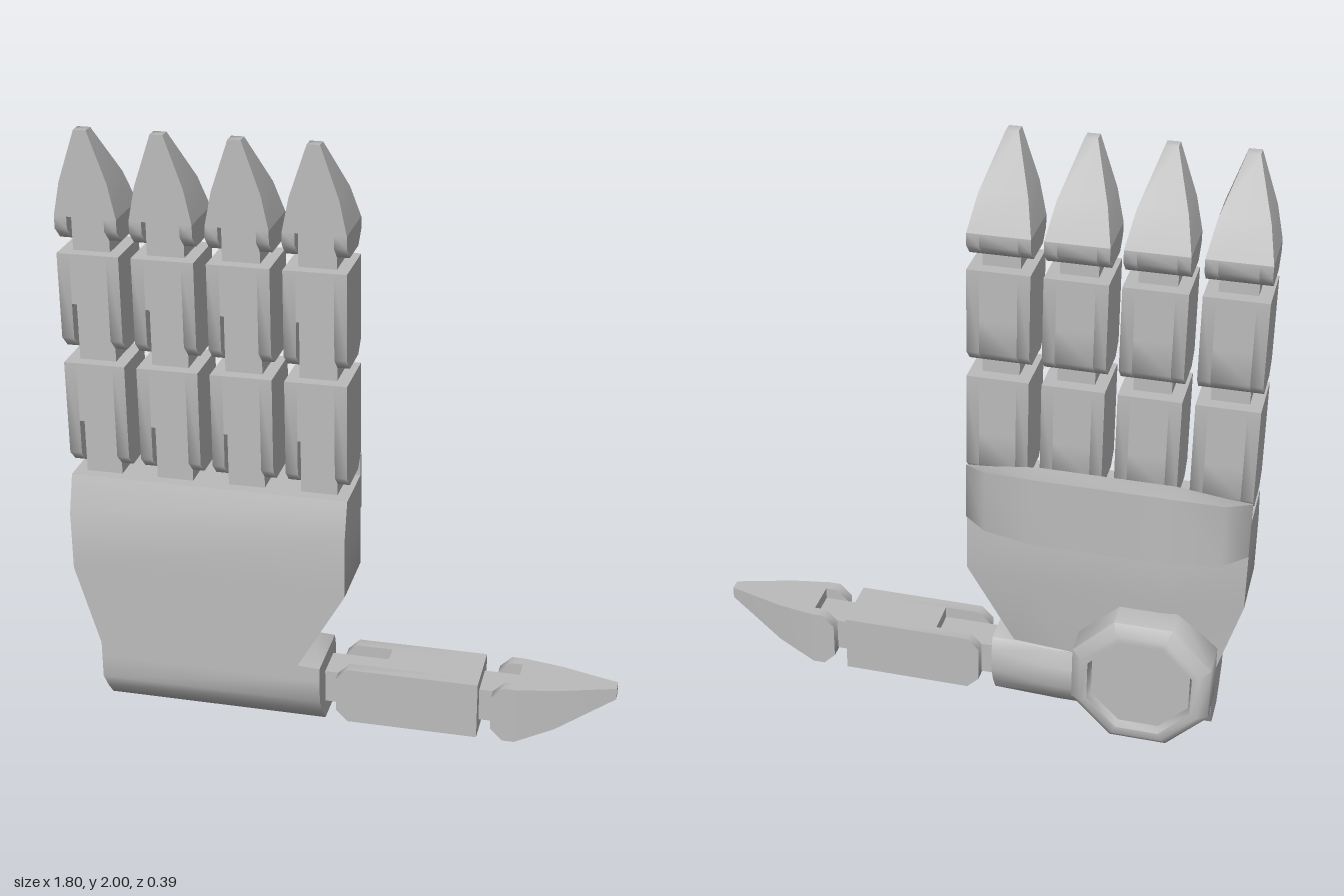
import * as THREE from 'three';
import { toCreasedNormals } from 'three/addons/utils/BufferGeometryUtils.js';

const metal = new THREE.MeshStandardMaterial({ color: 0xbcbcbc });
metal.name = 'grey metal';

function mesh(name, geometry) {
  const m = new THREE.Mesh(toCreasedNormals(geometry, 1.0), metal);
  m.name = name;
  return m;
}

// Skin a row of convex rings and cap both ends
function loft(rings) {
  const n = rings[0].length, last = (rings.length - 1) * n, index = [];
  for (let r = 0; r < rings.length - 1; r++) {
    for (let i = 0; i < n; i++) {
      const a = r * n + i, b = r * n + (i + 1) % n;
      index.push(a, b, b + n, a, b + n, a + n);
    }
  }
  for (let i = 1; i < n - 1; i++) {
    index.push(0, i + 1, i, last, last + i, last + i + 1);
  }
  const g = new THREE.BufferGeometry();
  g.setAttribute('position', new THREE.Float32BufferAttribute(rings.flat(2), 3));
  g.setIndex(index);
  return g;
}

// Straight bar along x from a profile of [y, z] points
const bar = (x0, x1, profile) => loft([x0, x1].map((x) => profile.map(([y, z]) => [x, y, z])));

// Finger cross-section limits: half width, back, front, and hinge size
const W = 0.1, BACK = -0.045, FRONT = 0.155, HW = 0.06, HB = 0, HF = 0.115, C = 0.04;

// Phalanx with chamfered lower end and a slot in front for the hinge
function phalanx(y0, y1, slot) {
  const g = new THREE.Group();
  g.name = 'phalanx';
  const side = [[y0, -0.005], [y0 + C, BACK], [y1, BACK], [y1, FRONT], [y0 + C, FRONT], [y0, HF]];
  g.add(mesh('phalanxCheek', bar(-W, -HW, side)), mesh('phalanxCheek', bar(HW, W, side)));
  g.add(mesh('phalanxBack', bar(-HW, HW,
    [[y0, -0.005], [y0 + C, BACK], [slot, BACK], [slot, HB], [y0, HB]])));
  if (y1 > slot) {
    g.add(mesh('phalanxTop', bar(-HW, HW, [[slot, BACK], [y1, BACK], [y1, FRONT], [slot, FRONT]])));
  }
  return g;
}

// Pointed fingertip
function fingertip(y0, slot, end) {
  const g = phalanx(y0, slot, slot);
  g.name = 'fingertip';
  const sections = [[slot, W, BACK], [slot + (end - slot) * 0.4, 0.077, 0.008], [end, 0.02, 0.115]];
  g.add(mesh('fingertipPoint', loft(sections.map(([y, w, z]) =>
    [[-w, y, FRONT], [w, y, FRONT], [w, y, z], [-w, y, z]]))));
  return g;
}

const hinge = (y0, y1) => mesh('hinge', bar(-HW, HW, [[y0, HB], [y1, HB], [y1, HF], [y0, HF]]));

// Palm section: flat front, back corners cut away
function palmRing([y, xl, xr, zb, zf, cut = 0.035]) {
  return [[xl, y, zf], [xr, y, zf], [xr, y, zb + cut], [xr - 0.22, y, zb], [xl + 0.24, y, zb], [xl, y, zb + cut]];
}

export function createModel() {
  const hand = new THREE.Group();
  hand.name = 'mechanicalHand';

  // Palm and wrist
  hand.add(mesh('palm', loft([
    [0, -0.82, -0.065, 0, 0.115, 0.01],
    [0.05, -0.82, -0.065, -0.04, 0.155, 0.02],
    [0.11, -0.82, -0.065, -0.08, 0.195],
    [0.19, -0.82, -0.065, -0.08, 0.195],
    [0.238, -0.82, -0.065, -0.05, 0.195, 0.02],
    [0.242, -0.82, -0.14, -0.05, 0.195, 0.02],
    [0.52, -0.9, 0.02, -0.08, 0.195],
    [0.72, -0.9, 0.02, -0.08, 0.195],
    [0.845, -0.9, 0.02, -0.06, 0.155, 0.015],
  ].map(palmRing))));

  // Curved guard over the knuckles: x, inner z, outer z, inner top, outer top
  hand.add(mesh('knuckleGuard', loft([
    [-0.9, -0.042, -0.055, 0.915, 0.92],
    [-0.825, -0.05, -0.13, 0.925, 0.945],
    [-0.66, -0.075, -0.162, 0.96, 0.965],
    [-0.22, -0.075, -0.162, 0.96, 0.965],
    [-0.06, -0.05, -0.125, 0.925, 0.945],
    [0.02, -0.042, -0.055, 0.915, 0.92],
  ].map(([x, zi, zo, ti, to]) => [[x, 0.725, zo], [x, to, zo], [x, ti, zi], [x, 0.725, zi]]))));

  // Eight-sided socket on the back of the wrist
  const R = 0.228 / Math.cos(Math.PI / 8);
  const profile = [[R, 0], [R, 0.135], [R - 0.035, 0.165], [0.185, 0.165], [0.175, 0.135], [0, 0.135]];
  const socket = mesh('wristSocket', new THREE.LatheGeometry(
    profile.map(([r, y]) => new THREE.Vector2(r, y)), 8, Math.PI / 8));
  socket.rotation.x = -Math.PI / 2;
  socket.position.set(-0.597, 0.247, -0.03);
  hand.add(socket);

  // Four fingers
  for (let i = 0; i < 4; i++) {
    const finger = new THREE.Group();
    finger.name = 'finger';
    finger.add(hinge(0.8, 1.04), phalanx(0.885, 1.24, 1.04));
    finger.add(hinge(1.23, 1.44), phalanx(1.285, 1.605, 1.44));
    finger.add(hinge(1.595, 1.725), fingertip(1.645, 1.725, 2));
    finger.position.x = -0.8 + i * 0.24;
    hand.add(finger);
  }

  // Thumb: a finger laid along +x with its slots facing up
  const thumb = new THREE.Group();
  thumb.name = 'thumb';
  thumb.add(hinge(-0.1, 0.14), phalanx(-0.02, 0.455, 0.14));
  thumb.add(hinge(0.445, 0.58), fingertip(0.5, 0.58, 0.9));
  thumb.quaternion.setFromRotationMatrix(new THREE.Matrix4().makeBasis(
    new THREE.Vector3(0, 0, 1), new THREE.Vector3(1, 0, 0), new THREE.Vector3(0, 1, 0)));
  thumb.position.set(0, 0.067, 0.055);
  hand.add(thumb);

  return hand;
}
